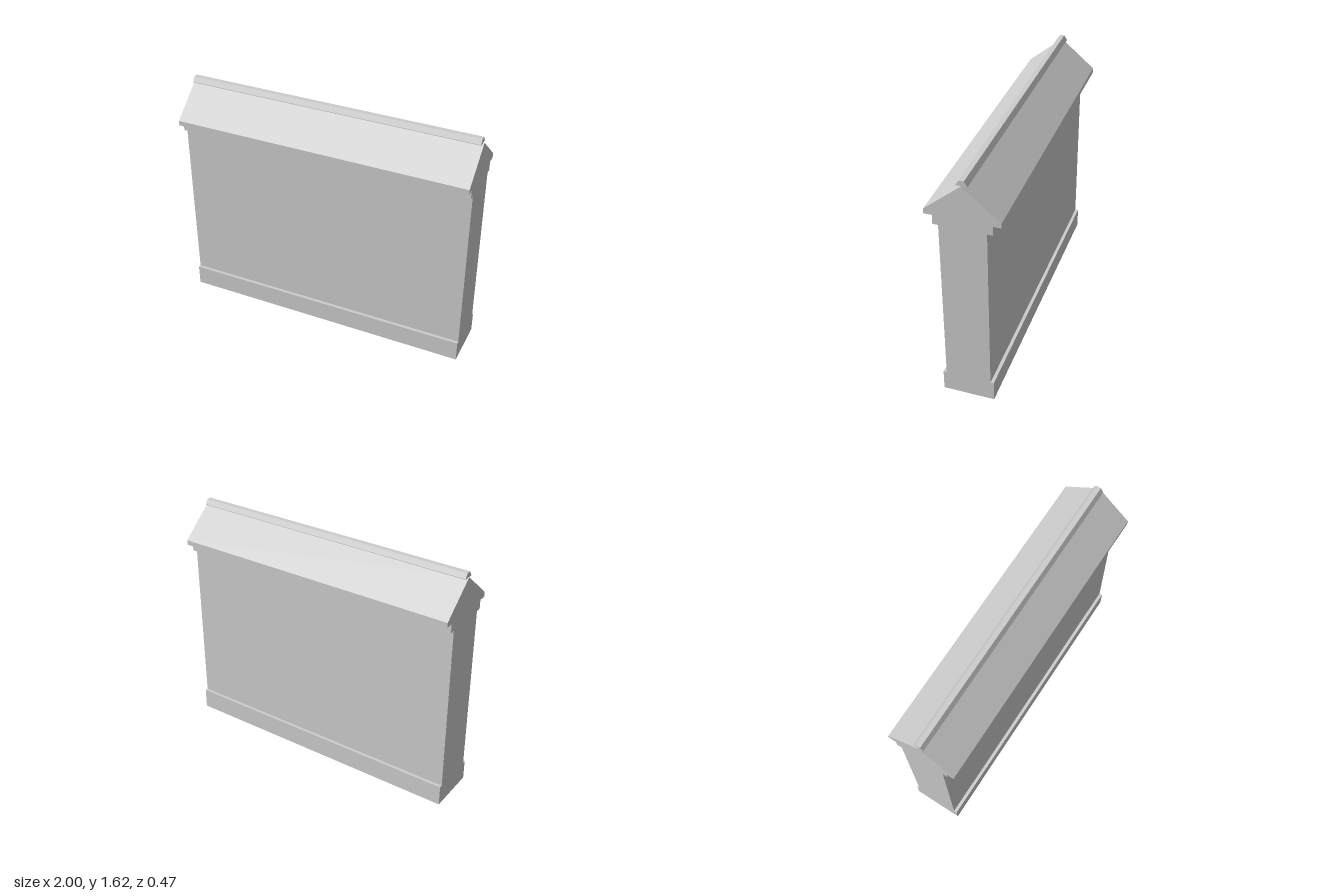
import * as THREE from 'three';

const stone = new THREE.MeshStandardMaterial({ color: 0xcccccc });
stone.name = 'grey stone';

// Mirrors a half profile [halfDepth, height] (bottom to top) and extrudes it along x.
function course(name, half, x0, x1) {
  const mirrored = half.filter(([d]) => d > 0).reverse().map(([d, y]) => [-d, y]);
  const points = [...half, ...mirrored].map(([d, y]) => new THREE.Vector2(d, y));
  const geometry = new THREE.ExtrudeGeometry(new THREE.Shape(points), {
    depth: x1 - x0,
    bevelEnabled: false,
  });
  geometry.rotateY(Math.PI / 2).translate(x0, 0, 0);
  const mesh = new THREE.Mesh(geometry, stone);
  mesh.name = name;
  return mesh;
}

export function createModel() {
  const group = new THREE.Group();
  group.name = 'copedWall';

  // Plinth, wall, stepped cornice and pitched coping as one continuous section
  group.add(course('wall', [
    [0.17, 0], [0.17, 0.142],
    [0.148, 0.142], [0.148, 1.3],
    [0.183, 1.3], [0.183, 1.362],
    [0.235, 1.362], [0.235, 1.395],
    [0, 1.592],
  ], -1, 1));

  // Ridge cap, slightly shorter than the wall
  group.add(course('ridgeCap', [[0.035, 1.587], [0.035, 1.591], [0.016, 1.622]], -0.995, 0.99));

  return group;
}
